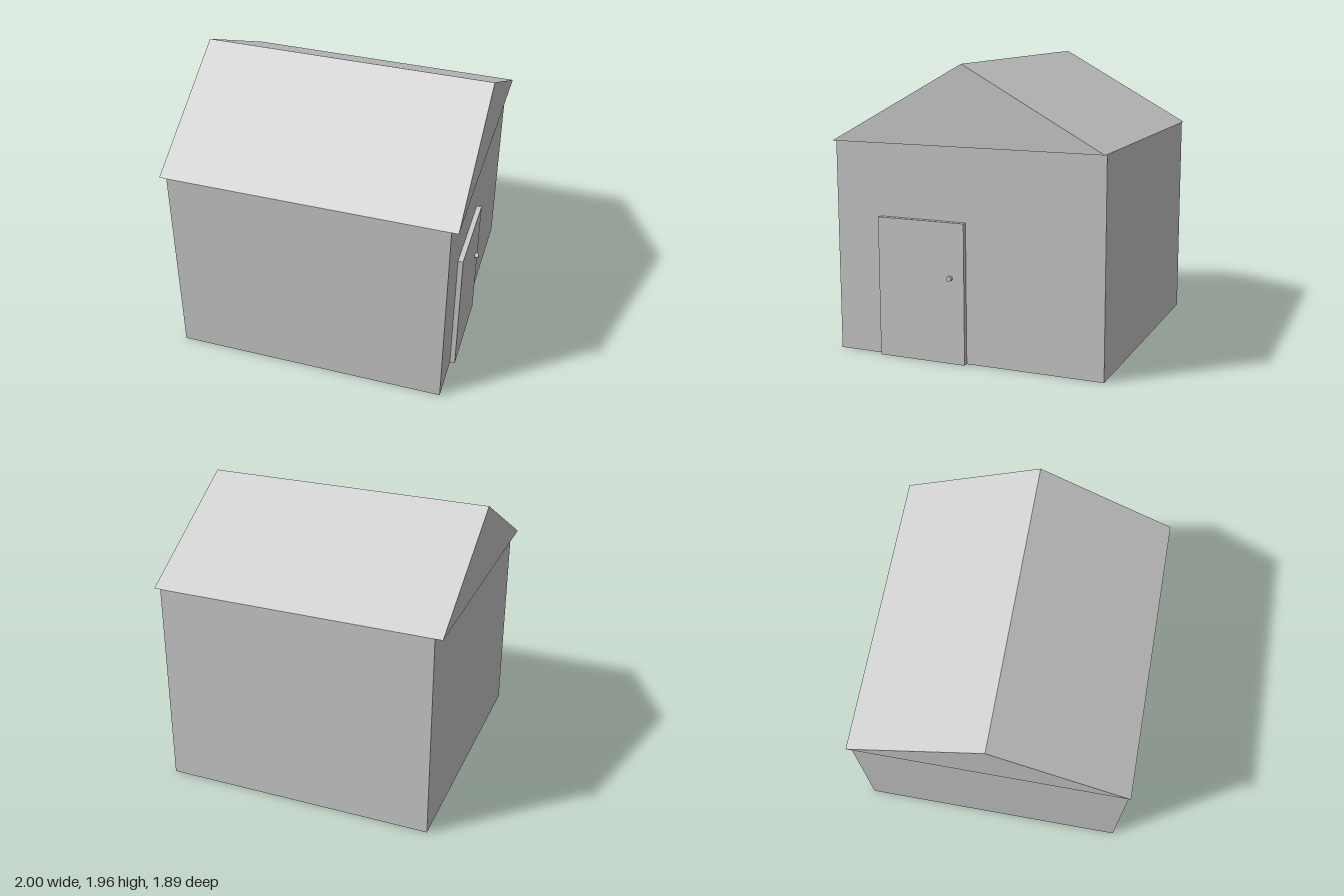
import * as THREE from 'three';

export function createModel() {
  const model = new THREE.Group();
  const grey = new THREE.MeshStandardMaterial({ color: 0xcccccc });
  grey.name = 'light grey';
  const greyOpen = new THREE.MeshStandardMaterial({ color: 0xcccccc, side: THREE.DoubleSide });
  greyOpen.name = 'light grey two-sided';

  const add = (name, geometry, material, x, y, z) => {
    const mesh = new THREE.Mesh(geometry, material);
    mesh.name = name;
    mesh.position.set(x, y, z);
    model.add(mesh);
    return mesh;
  };

  const left = 0.94, right = -0.95, depth = 0.943, eave = 1.44, ridge = 1.963;

  // Four thin walls, open at the floor
  const width = left - right, midX = (left + right) / 2;
  for (const s of [1, -1]) {
    const long = add('longWall', new THREE.PlaneGeometry(width, eave), greyOpen, midX, eave / 2, s * depth);
    long.rotation.y = s > 0 ? 0 : Math.PI;
    const end = add('endWall', new THREE.PlaneGeometry(depth * 2, eave), greyOpen, s > 0 ? left : right, eave / 2, 0);
    end.rotation.y = s * Math.PI / 2;
  }

  // Closed gable roof, overhanging both end walls
  const gable = new THREE.Shape([
    new THREE.Vector2(-depth, 0),
    new THREE.Vector2(depth, 0),
    new THREE.Vector2(0, ridge - eave),
  ]);
  const roof = new THREE.ExtrudeGeometry(gable, { depth: 1.985, bevelEnabled: false });
  roof.rotateY(Math.PI / 2);
  add('roof', roof, grey, -1, eave, 0);

  // Door slab with a round knob on the left end wall
  const doorFace = 0.975;
  add('door', new THREE.BoxGeometry(doorFace - left, 0.947, 0.62), grey, (doorFace + left) / 2, 0.4735, 0.31);
  const knob = new THREE.CylinderGeometry(0.017, 0.017, 0.025, 24);
  knob.rotateZ(-Math.PI / 2);
  add('doorKnob', knob, grey, doorFace + 0.0125, 0.58, 0.097);

  return model;
}
